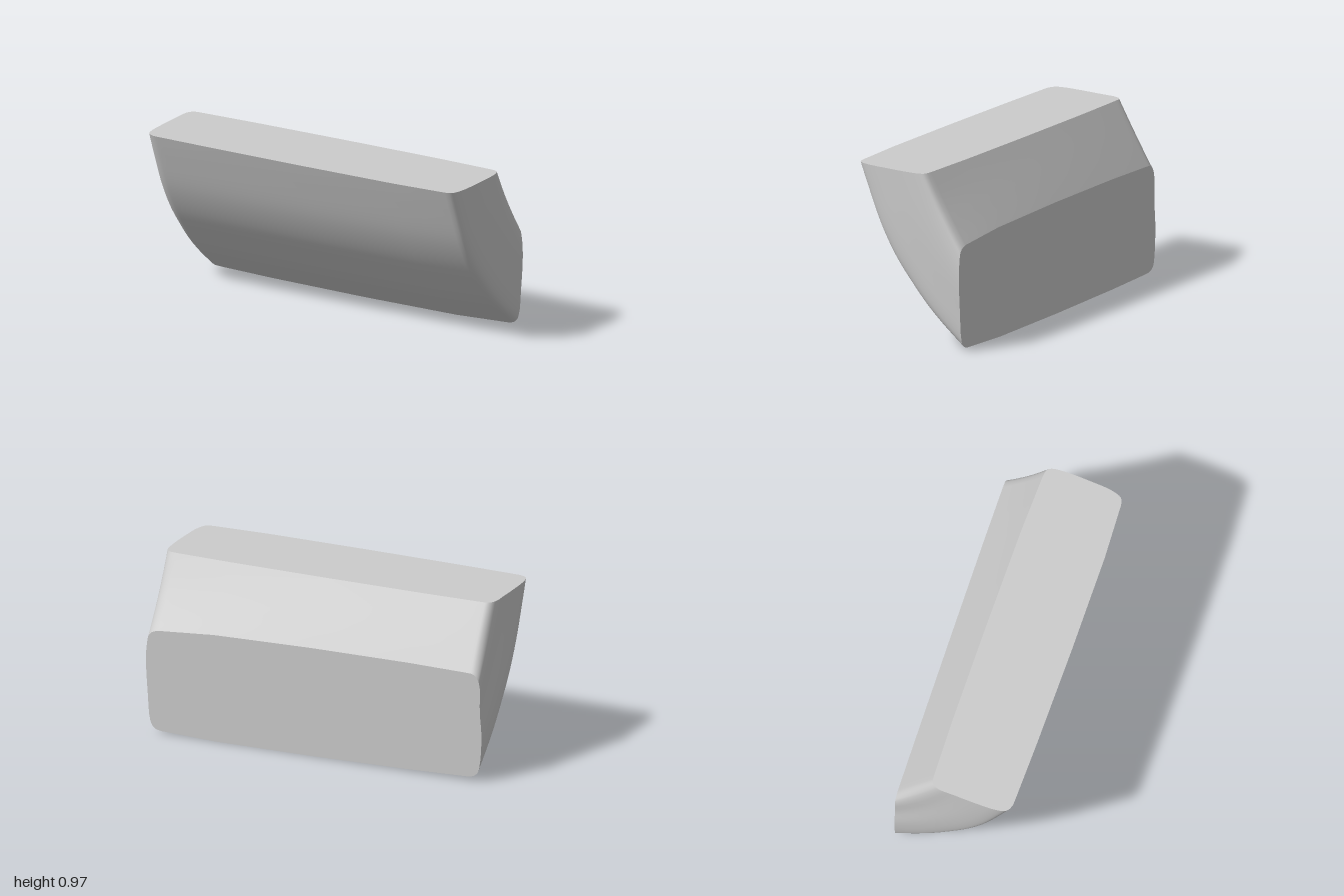
import * as THREE from 'three';

// Outline of the flat top as [x, z] and of the flat back as [x, y], in the same order
const TOP = [
  [0.90, 0.345], [0.94, 0.33], [0.965, 0.27], [0.98, 0.15], [0.99, 0], [0.985, -0.08],
  [0.97, -0.104], [0.92, -0.115], [-0.90, -0.145], [-0.955, -0.138], [-0.98, -0.105],
  [-0.99, 0], [-1, 0.15], [-1, 0.25], [-0.988, 0.295], [-0.955, 0.316], [-0.90, 0.322],
];
const BACK = [
  [0.91, 0.003], [0.955, 0.02], [0.975, 0.06], [0.99, 0.22], [1, 0.40], [0.995, 0.50],
  [0.98, 0.56], [0.93, 0.587], [-0.90, 0.62], [-0.955, 0.612], [-0.985, 0.57],
  [-0.99, 0.40], [-1, 0.25], [-0.988, 0.08], [-0.975, 0.04], [-0.945, 0.019], [-0.90, 0.013],
];
// Curved underside as [z, y], from the back to the top
const BELLY = [[-0.345, 0], [-0.2, 0.117], [-0.1, 0.21], [0, 0.322], [0.1, 0.447], [0.2, 0.615], [0.3, 0.85], [0.345, 0.965]];
const STEPS = 28, SUB = 4;

// Smooth closed outline; depth runs 0 (underside) to 1 (slanted rear)
function outline(points, start, end) {
  const curve = new THREE.CatmullRomCurve3(
    points.map(([x, d]) => new THREE.Vector3(x, d, 0)), true, 'centripetal');
  const n = points.length * SUB;
  return Array.from({ length: n }, (_, i) => {
    const p = curve.getPoint(i / n);
    return { x: p.x, f: (p.y - start) / (end - start) };
  });
}

function makeGeometry(positions, index) {
  const g = new THREE.BufferGeometry();
  g.setAttribute('position', new THREE.Float32BufferAttribute(positions, 3));
  g.setIndex(index);
  g.computeVertexNormals();
  return g;
}

// Flat convex end built as a fan about its middle
function capGeometry(ring, flip) {
  const c = ring.reduce((s, p) => s.add(p), new THREE.Vector3()).divideScalar(ring.length);
  const index = [];
  ring.forEach((_, i) => {
    const a = i + 1, b = (i + 1) % ring.length + 1;
    index.push(0, flip ? b : a, flip ? a : b);
  });
  return makeGeometry([c, ...ring].flatMap((p) => p.toArray()), index);
}

export function createModel() {
  const group = new THREE.Group();
  const material = new THREE.MeshStandardMaterial({ color: 0xcccccc });
  const add = (name, geometry) => {
    const mesh = new THREE.Mesh(geometry, material);
    mesh.name = name;
    group.add(mesh);
  };

  const top = outline(TOP, 0.345, -0.145);
  const back = outline(BACK, 0, 0.62);
  const belly = new THREE.CatmullRomCurve3(BELLY.map(([z, y]) => new THREE.Vector3(0, y, z)));

  // Cross-sections turn from the upright back plane to the level top plane
  const rings = [];
  for (let k = 0; k <= STEPS; k++) {
    const t = k / STEPS;
    const outer = belly.getPointAt(t);
    const inner = new THREE.Vector3(0, 0.62, -0.345).lerp(new THREE.Vector3(0, 0.965, -0.145), t);
    rings.push(back.map((b, i) => {
      const f = THREE.MathUtils.lerp(b.f, top[i].f, t);
      const p = outer.clone().lerp(inner, f);
      p.x = THREE.MathUtils.lerp(b.x, top[i].x, t);
      return p;
    }));
  }

  // Wall: curved underside, rounded ends and slanted rear in one skin
  const n = top.length, index = [];
  for (let k = 0; k < STEPS; k++) {
    for (let i = 0; i < n; i++) {
      const j = (i + 1) % n;
      const a = k * n + i, b = k * n + j, c = a + n, d = b + n;
      index.push(a, b, d, a, d, c);
    }
  }
  add('curvedBody', makeGeometry(rings.flat().flatMap((p) => p.toArray()), index));

  add('topFace', capGeometry(rings[STEPS], false));
  add('backFace', capGeometry(rings[0], true));
  return group;
}
